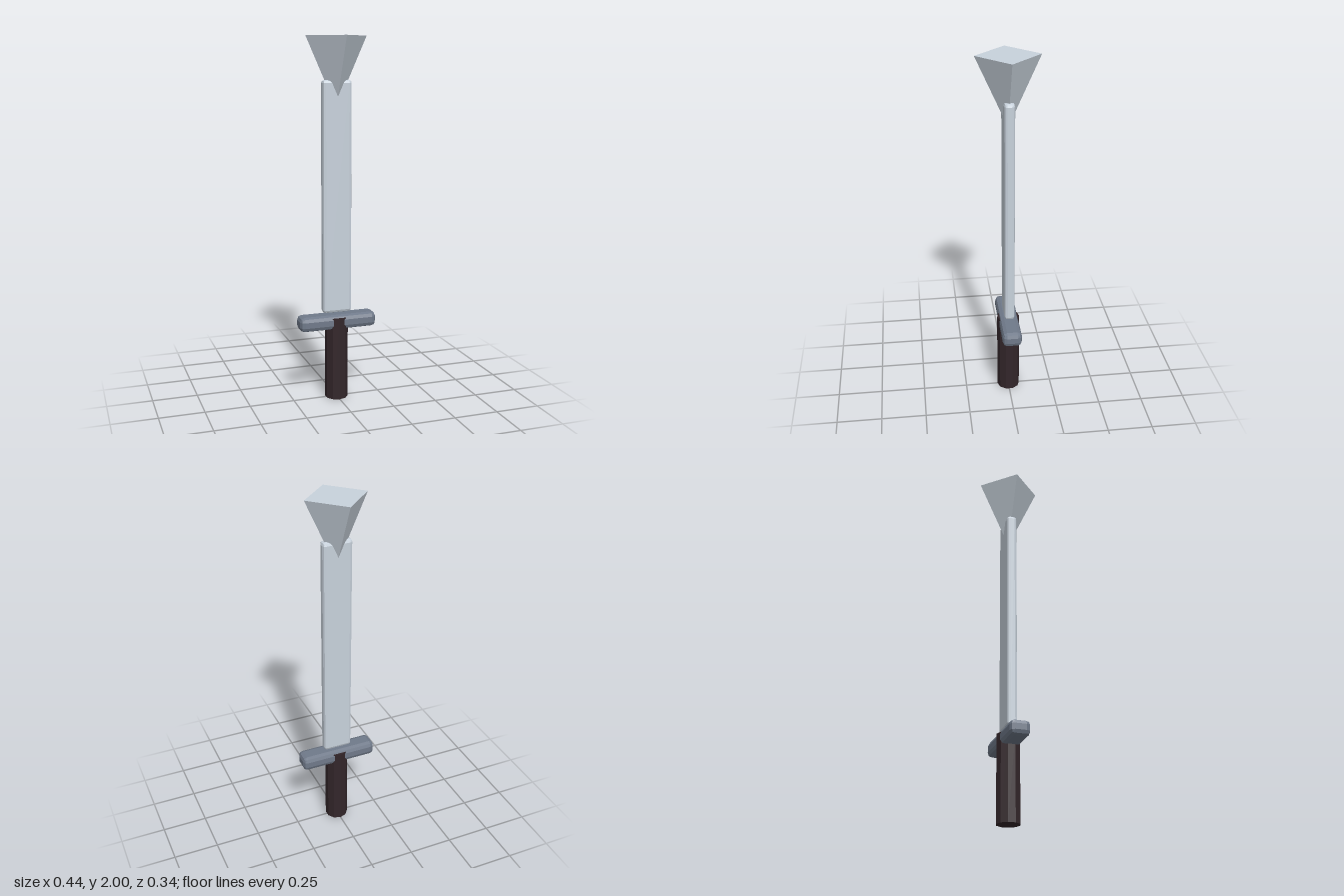
import * as THREE from 'three';
import { RoundedBoxGeometry } from 'three/addons/geometries/RoundedBoxGeometry.js';

const STEEL = 0xc8d2dc, IRON = 0x707a8a, WOOD = 0x33262a;

export function createModel() {
  const model = new THREE.Group();
  model.name = 'sword';

  // Adds a faceted part centred on the vertical axis
  const add = (name, geometry, color, y) => {
    const material = new THREE.MeshStandardMaterial({ color, flatShading: true });
    const mesh = new THREE.Mesh(geometry, material);
    mesh.name = name;
    mesh.position.y = y;
    model.add(mesh);
    return mesh;
  };

  // Ten-sided grip, running up into the crossguard
  add('grip', new THREE.CylinderGeometry(0.064, 0.064, 0.47, 10), WOOD, 0.235);

  // Crossguard and blade are boxes with bevelled edges
  add('crossguard', new RoundedBoxGeometry(0.438, 0.082, 0.108, 1, 0.025), IRON, 0.444);
  add('blade', new RoundedBoxGeometry(0.164, 1.275, 0.056, 1, 0.016), STEEL, 1.1325);

  // Four-sided tip with its point sunk into the blade
  const tip = add('tip', new THREE.ConeGeometry(0.17, 0.38, 4), STEEL, 1.81);
  tip.rotation.x = Math.PI;

  return model;
}
